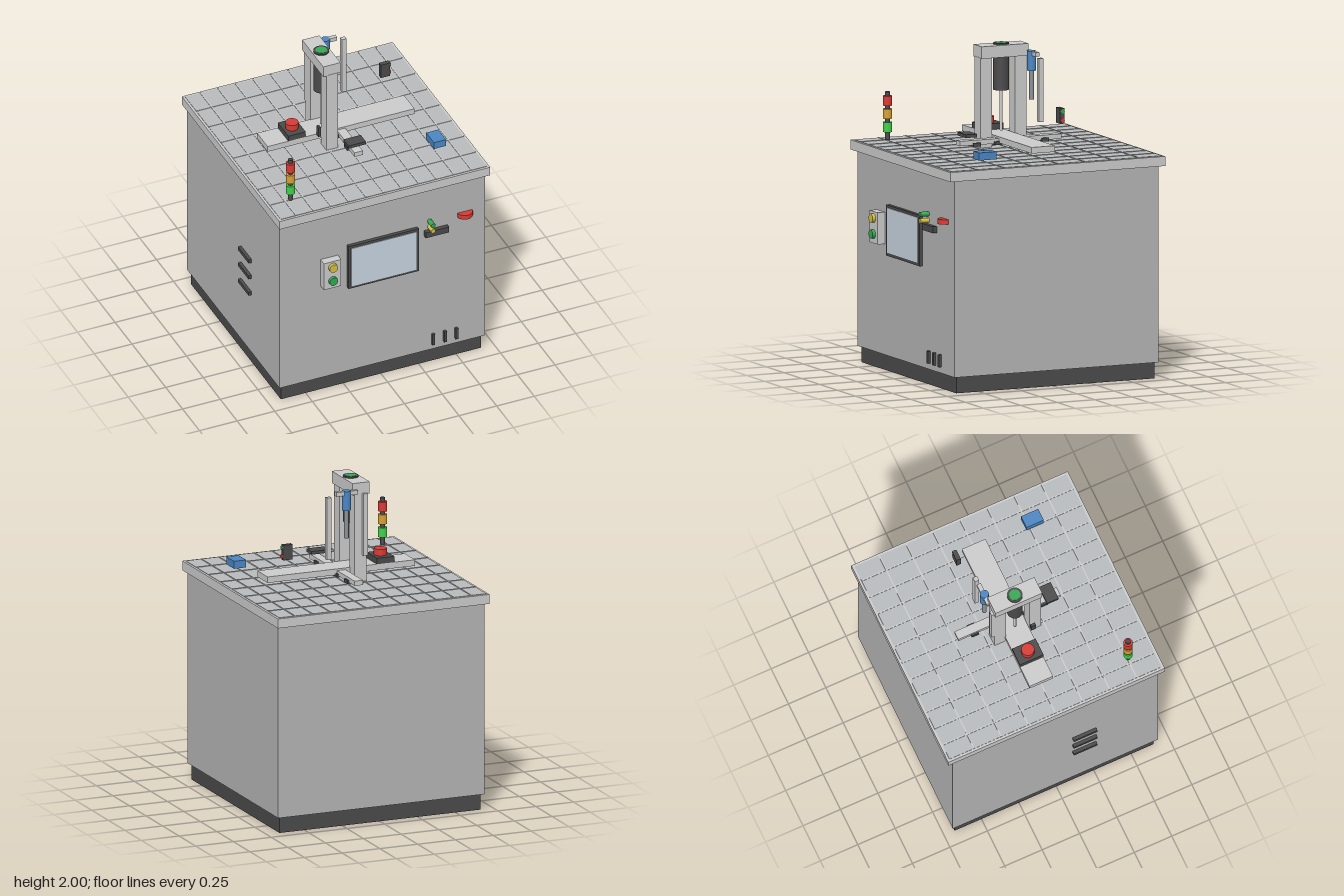
import * as THREE from 'three';

const GREY = 0xcccccc, BODY = 0xb4b4b4, DARK = 0x4a4a4a, RED = 0xd83a34,
  GREEN = 0x36a853, YELLOW = 0xd2bf45, BLUE = 0x4a86c2;

export function createModel() {
  const model = new THREE.Group();
  const materials = new Map();
  const paint = (c) => {
    if (!materials.has(c)) materials.set(c, new THREE.MeshStandardMaterial({ color: c }));
    return materials.get(c);
  };
  const add = (name, geometry, color, x, y, z) => {
    const mesh = new THREE.Mesh(geometry, paint(color));
    mesh.name = name;
    mesh.position.set(x, y, z);
    model.add(mesh);
    return mesh;
  };
  // box given by its limits on each axis
  const box = (name, color, [x0, x1], [y0, y1], [z0, z1]) =>
    add(name, new THREE.BoxGeometry(x1 - x0, y1 - y0, z1 - z0), color,
      (x0 + x1) / 2, (y0 + y1) / 2, (z0 + z1) / 2);
  // upright cylinder from y0 to y1
  const post = (name, color, x, z, r, y0, y1) =>
    add(name, new THREE.CylinderGeometry(r, r, y1 - y0, 32), color, x, (y0 + y1) / 2, z);
  // cylinder lying along z
  const knob = (name, color, x, y, r, z0, z1) => {
    const mesh = add(name, new THREE.CylinderGeometry(r, r, z1 - z0, 32), color, x, y, (z0 + z1) / 2);
    mesh.rotation.x = Math.PI / 2;
  };

  // cabinet
  box('plinth', DARK, [-0.665, 0.665], [0, 0.1], [-0.68, 0.65]);
  box('cabinet', BODY, [-0.682, 0.682], [0.1, 1.305], [-0.7, 0.67]);
  box('tableTop', GREY, [-0.7, 0.7], [1.305, 1.364], [-0.738, 0.708]);

  // table surface with a grid of thin strips
  box('tableSurface', 0xb8bbbd, [-0.685, 0.685], [1.364, 1.367], [-0.723, 0.693]);
  for (let i = -5; i <= 5; i++) {
    const x = i * 0.1167;
    box('gridStripLong', GREY, [x - 0.004, x + 0.004], [1.366, 1.37], [-0.723, 0.693]);
  }
  for (let i = -3; i <= 3; i++) {
    const z = -0.015 + i * 0.181;
    box('gridStripCross', GREY, [-0.685, 0.685], [1.366, 1.37], [z - 0.004, z + 0.004]);
  }

  // conveyor and crossing rail
  box('conveyor', GREY, [-0.488, 0.488], [1.405, 1.443], [-0.097, 0.06]);
  box('crossRail', GREY, [-0.028, 0.028], [1.402, 1.432], [-0.36, 0.322]);
  for (const z of [-0.25, -0.092, 0.067, 0.21])
    box('railSupport', DARK, [-0.038, 0.038], [1.394, 1.416], [z - 0.024, z + 0.024]);
  box('railCarriage', DARK, [-0.057, 0.059], [1.455, 1.475], [0.22, 0.297]);

  // press frame with its cylinder
  for (const z of [-0.129, 0.105])
    box('pressColumn', GREY, [-0.135, -0.057], [1.365, 1.92], [z - 0.039, z + 0.039]);
  box('pressHead', GREY, [-0.155, -0.041], [1.916, 1.99], [-0.171, 0.142]);
  post('pressCylinder', DARK, -0.098, -0.015, 0.048, 1.71, 1.998);
  post('pressCap', GREEN, -0.098, -0.015, 0.035, 1.99, 2);
  post('pressRod', GREY, -0.098, -0.015, 0.009, 1.46, 1.71);

  // red push button block on the conveyor
  box('buttonBlock', DARK, [-0.35, -0.235], [1.443, 1.48], [-0.097, 0.06]);
  post('buttonTop', RED, -0.292, -0.018, 0.04, 1.48, 1.52);

  // small sensor beside the column
  box('sensor', DARK, [-0.166, -0.149], [1.443, 1.51], [0.064, 0.094]);

  // suspended lifting cylinder with guide posts
  box('liftBracket', GREY, [-0.068, 0.074], [1.924, 1.95], [-0.19, -0.163]);
  post('liftCylinder', BLUE, 0, -0.173, 0.027, 1.83, 1.951);
  post('liftRod', 0x8c9096, 0, -0.173, 0.014, 1.653, 1.83);
  for (const s of [-1, 1])
    box('guidePost', GREY, [s * 0.12 - 0.015, s * 0.12 + 0.015], [1.533, 1.922], [-0.188, -0.16]);

  // signal box
  box('signalBox', DARK, [0.364, 0.426], [1.563, 1.658], [-0.19, -0.162]);
  for (const [color, y] of [[GREEN, 1.64], [RED, 1.585]]) {
    const lamp = add('signalLamp', new THREE.CylinderGeometry(0.014, 0.014, 0.018, 24), color, 0.423, y, -0.176);
    lamp.rotation.z = Math.PI / 2;
  }

  box('blueBlock', BLUE, [0.45, 0.53], [1.394, 1.441], [0.317, 0.432]);

  // stack light
  post('stackPole', DARK, -0.548, 0.533, 0.015, 1.375, 1.67);
  [[0x3fd04a, 1.453], [0xd6a035, 1.535], [RED, 1.615]].forEach(([color, y]) =>
    post('stackLamp', color, -0.548, 0.533, 0.028, y - 0.03, y + 0.03));

  // front panel: push buttons and screen
  box('buttonPanel', GREY, [-0.41, -0.295], [0.78, 0.975], [0.67, 0.72]);
  knob('yellowButton', YELLOW, -0.352, 0.935, 0.028, 0.72, 0.74);
  knob('greenButton', GREEN, -0.352, 0.837, 0.028, 0.72, 0.74);
  box('screenFrame', DARK, [-0.233, 0.233], [0.72, 1.033], [0.67, 0.692]);
  box('screen', 0xc8d4e0, [-0.217, 0.217], [0.736, 1.016], [0.69, 0.696]);

  // front panel: shelf, pilot lamps and red handle
  box('shelf', DARK, [0.278, 0.432], [0.952, 0.992], [0.67, 0.697]);
  knob('greenPilot', GREEN, 0.314, 1.053, 0.015, 0.67, 0.728);
  knob('yellowPilot', YELLOW, 0.314, 1.013, 0.015, 0.67, 0.728);
  post('redHandle', RED, 0.549, 0.667, 0.049, 1.027, 1.057);

  // vent slots at the front and on the side
  for (const x of [0.335, 0.413, 0.49])
    box('frontSlot', DARK, [x - 0.009, x + 0.009], [0.138, 0.215], [0.66, 0.688]);
  for (const y of [0.538, 0.659, 0.777])
    box('sideVent', DARK, [-0.703, -0.67], [y - 0.012, y + 0.012], [0.1, 0.257]);

  return model;
}
